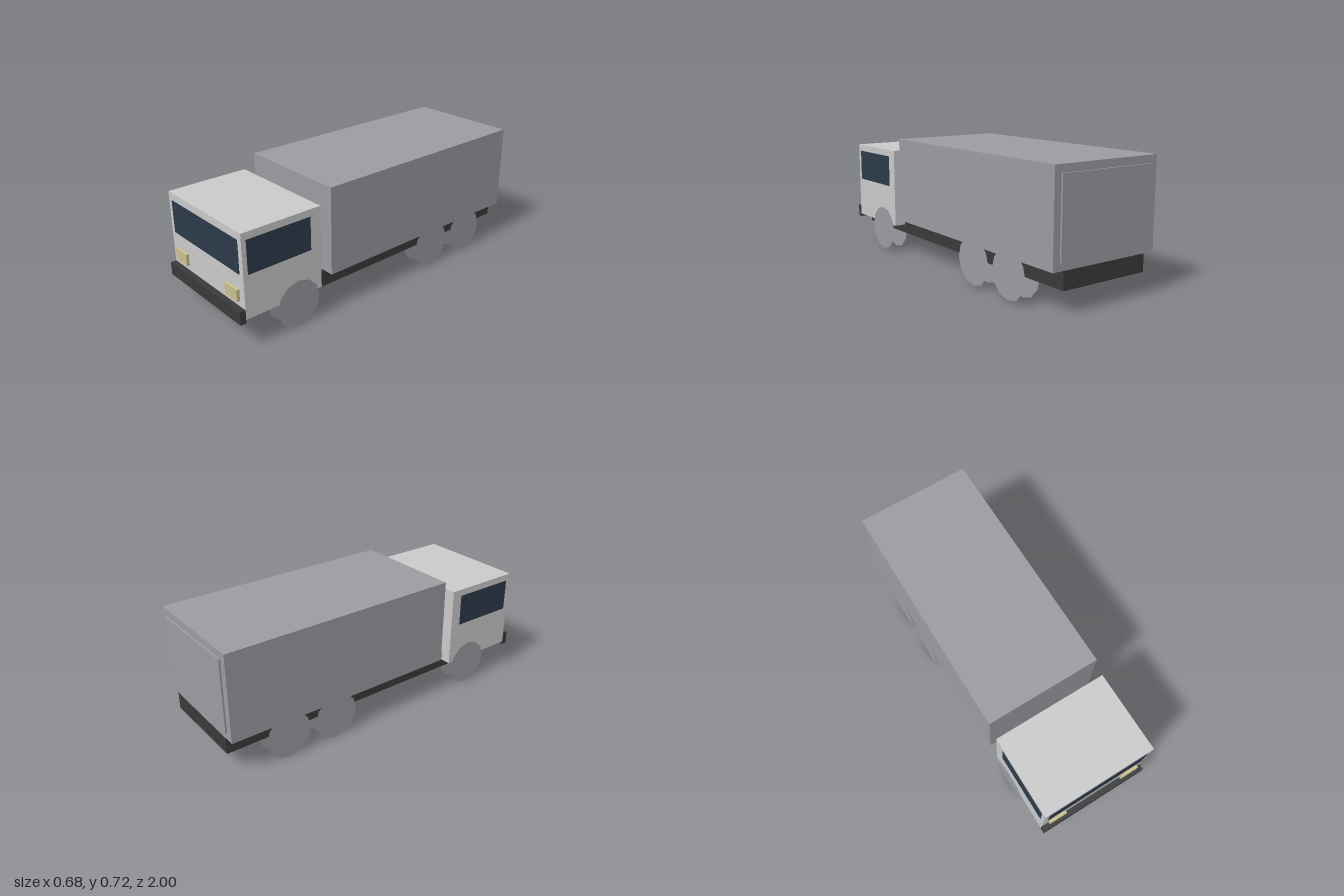
import * as THREE from 'three';

const material = (name, color, extra = {}) => {
  const m = new THREE.MeshStandardMaterial({ color, ...extra });
  m.name = name;
  return m;
};

export function createModel() {
  const truck = new THREE.Group();
  truck.name = 'boxTruck';

  const cabPaint = material('cabPaint', 0xcacaca);
  const cargoGrey = material('cargoGrey', 0x9b9ba1, { side: THREE.DoubleSide });
  const darkTrim = material('darkTrim', 0x3a3a3a);
  const glass = material('glass', 0x2d3a4b);
  const lamp = material('lamp', 0xc9c08f);

  // Box given by its minimum and maximum on each axis
  const box = (name, mat, [x0, x1], [y0, y1], [z0, z1]) => {
    const mesh = new THREE.Mesh(new THREE.BoxGeometry(x1 - x0, y1 - y0, z1 - z0), mat);
    mesh.position.set((x0 + x1) / 2, (y0 + y1) / 2, (z0 + z1) / 2);
    mesh.name = name;
    truck.add(mesh);
  };

  const W = 0.337; // half width of the body

  // Main bodies
  box('chassis', darkTrim, [-0.271, 0.271], [0.122, 0.22], [-0.99, 0.945]);
  box('cab', cabPaint, [-W, W], [0.173, 0.642], [0.49, 0.967]);
  box('cargoBox', cargoGrey, [-W, W], [0.22, 0.72], [-0.99, 0.42]);
  box('rearDoor', cargoGrey, [-0.296, 0.296], [0.262, 0.678], [-1, -0.99]);
  box('bumper', darkTrim, [-W, W], [0.155, 0.23], [0.967, 1]);
  box('windshield', glass, [-0.306, 0.306], [0.415, 0.6], [0.966, 0.97]);

  // Mirrored details and wheels
  const disc = new THREE.CircleGeometry(0.135, 12);
  for (const [side, s] of [['left', 1], ['right', -1]]) {
    const span = (a, b) => [Math.min(a * s, b * s), Math.max(a * s, b * s)];
    box(`${side}Window`, glass, span(W - 0.001, W + 0.001), [0.415, 0.602], [0.555, 0.94]);
    box(`${side}Headlight`, lamp, span(0.185, 0.293), [0.262, 0.328], [0.966, 0.983]);

    // Each wheel is a pair of flat discs
    for (const [axle, z] of [['front', 0.643], ['middle', -0.357], ['rear', -0.66]]) {
      const wheel = new THREE.Group();
      wheel.name = `${side}${axle[0].toUpperCase()}${axle.slice(1)}Wheel`;
      for (const x of [0.339, 0.247]) {
        const face = new THREE.Mesh(disc, cargoGrey);
        face.name = x > 0.3 ? 'outerDisc' : 'innerDisc';
        face.rotation.y = (s * Math.PI) / 2;
        face.position.set(s * x, 0.135, z);
        wheel.add(face);
      }
      truck.add(wheel);
    }
  }
  return truck;
}
